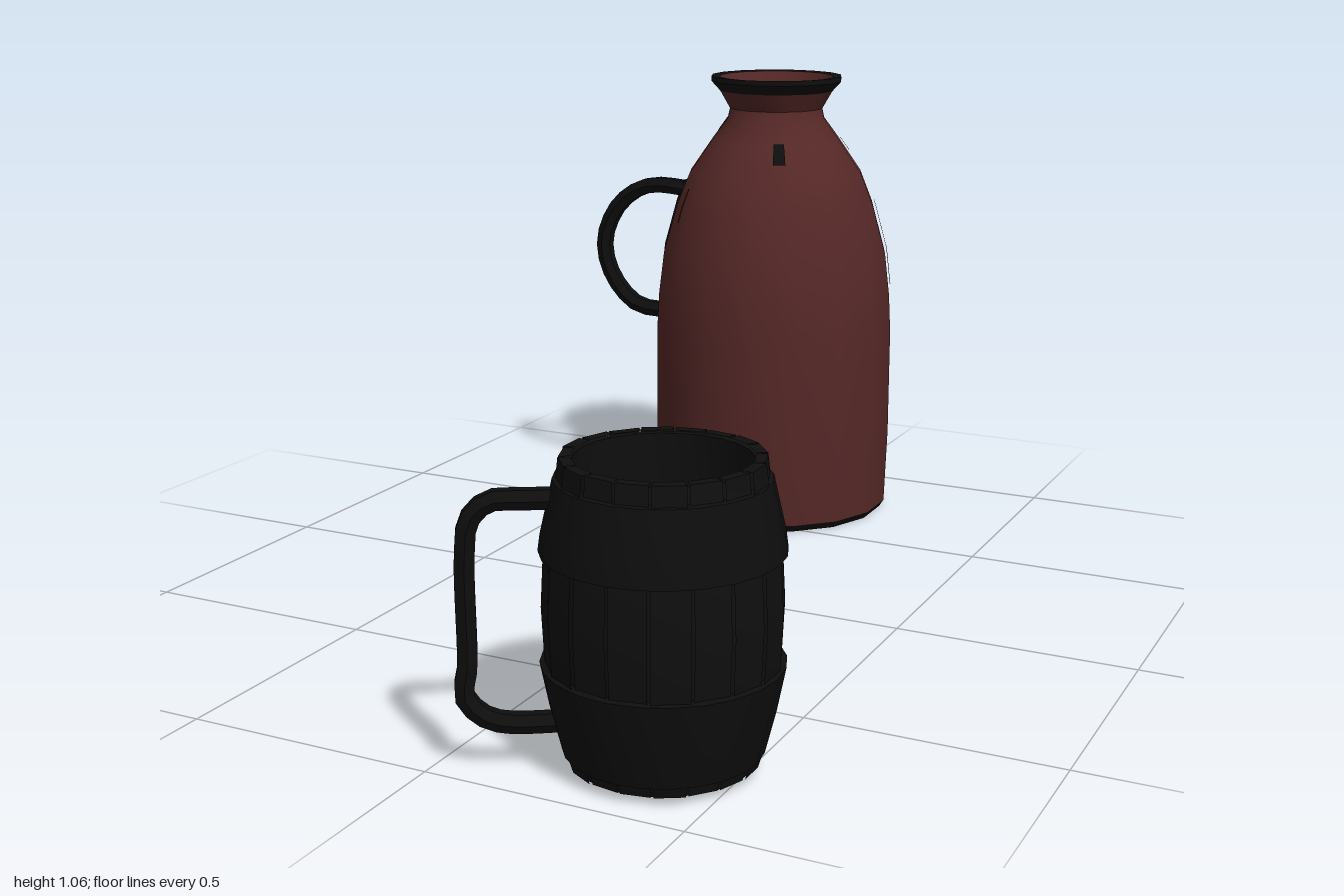
import * as THREE from 'three';
import { toCreasedNormals } from 'three/addons/utils/BufferGeometryUtils.js';

const mat = (name, color, side = THREE.FrontSide) => {
  const m = new THREE.MeshStandardMaterial({ color, side });
  m.name = name;
  return m;
};
const v2 = (list) => list.map(([r, y]) => new THREE.Vector2(r, y));
const rad = THREE.MathUtils.degToRad;

function add(parent, name, geometry, material) {
  const m = new THREE.Mesh(geometry, material);
  m.name = name;
  parent.add(m);
  return m;
}

// turned part; keeps hard edges sharp
function turned(points, sides, start = 0, length = Math.PI * 2, crease = 0.65) {
  return toCreasedNormals(new THREE.LatheGeometry(v2(points), sides, start, length), crease);
}

// low-poly bar following a path of [x, y] points in a vertical plane
function bar(points, radius, steps) {
  const curve = new THREE.CatmullRomCurve3(points.map(([x, y]) => new THREE.Vector3(x, y, 0)), false, 'centripetal');
  return toCreasedNormals(new THREE.TubeGeometry(curve, steps, radius, 6), 0.65);
}

// radius of a [r, y] profile at height y
function radiusAt(profile, y) {
  for (let i = 1; i < profile.length; i++) {
    const [r0, y0] = profile[i - 1], [r1, y1] = profile[i];
    if (y <= y1) return r0 + (r1 - r0) * Math.max(0, (y - y0) / (y1 - y0));
  }
  return profile[profile.length - 1][0];
}

// thin curved sheet following a profile between two heights
function sheet(profile, angle, width, y0, y1, lift) {
  const ys = [y0, ...profile.map((p) => p[1]).filter((y) => y > y0 && y < y1), y1];
  const points = ys.map((y) => [radiusAt(profile, y) + lift, y]);
  const span = width / radiusAt(profile, (y0 + y1) / 2);
  return new THREE.LatheGeometry(v2(points), 2, rad(angle) - span / 2, span);
}

export function createModel() {
  const red = mat('dark red enamel', 0x552827);
  const worn = mat('worn red', 0x381a19, THREE.DoubleSide);
  const black = mat('black iron', 0x0e0e0e, THREE.DoubleSide);
  const wood = mat('blackened wood', 0x0f0f0f, THREE.DoubleSide);
  const model = new THREE.Group();

  // ---- jug ----
  const jug = new THREE.Group();
  jug.name = 'jug';
  jug.position.set(-0.093, 0, -0.71);
  model.add(jug);
  const jugProfile = [[0.283, 0.022], [0.289, 0.2], [0.289, 0.45], [0.284, 0.54], [0.272, 0.64], [0.24, 0.755],
    [0.21, 0.83], [0.155, 0.91], [0.118, 0.96], [0.112, 0.985], [0.136, 1.027]];
  const half = Math.PI / 16;
  const spin = (points) => turned(points, 16, half);
  add(jug, 'jugBody', spin(jugProfile), red);
  add(jug, 'jugBase', spin([[0, 0.005], [0.272, 0.005], [0.283, 0.022]]), black);
  add(jug, 'jugRim', spin([[0.136, 1.027], [0.157, 1.05], [0.157, 1.062], [0.137, 1.06]]), black);
  add(jug, 'jugMouth', spin([[0.137, 1.06], [0.103, 0.985], [0.108, 0.955]]), red);
  add(jug, 'jugInside', spin([[0.108, 0.955], [0.2, 0.82], [0.27, 0.55], [0.27, 0.03], [0, 0.03]]), black);

  // ring handle with its fixing strip
  const jugHandle = add(jug, 'jugHandle', bar([[-0.2, 0.775], [-0.32, 0.78], [-0.375, 0.76], [-0.425, 0.715],
    [-0.458, 0.64], [-0.452, 0.575], [-0.418, 0.515], [-0.365, 0.473], [-0.27, 0.465]], 0.021, 18), black);
  jugHandle.position.z = 0.02;
  add(jug, 'jugHandleStrip', sheet(jugProfile, 274, 0.045, 0.46, 0.8, 0.009), black);

  // chips and scuffs: angle, width, bottom, top, material
  [[26, 0.026, 0.87, 0.915, black], [115, 0.03, 0.885, 0.915, black], [264, 0.05, 0.925, 0.985, black],
    [264, 0.045, 0.23, 0.35, black], [214, 0.055, 0.865, 0.93, worn], [120, 0.008, 0.55, 0.76, worn],
    [318, 0.008, 0.72, 0.8, worn]].forEach(([angle, width, y0, y1, material]) =>
    add(jug, 'jugChip', sheet(jugProfile, angle, width, y0, y1, 0.004), material));

  // ---- mug ----
  const mug = new THREE.Group();
  mug.name = 'mug';
  mug.position.set(0.355, 0, 0.785);
  model.add(mug);
  add(mug, 'mugCore', turned([[0, 0.02], [0.165, 0.02], [0.182, 0.1], [0.2, 0.2], [0.204, 0.3], [0.2, 0.4],
    [0.176, 0.53], [0.17, 0.56], [0.155, 0.56], [0.165, 0.4], [0.165, 0.07], [0, 0.07]], 24), wood);

  // staves with narrow gaps
  const staveProfile = [[0.168, 0.02], [0.177, 0.05], [0.192, 0.12], [0.205, 0.2], [0.21, 0.3], [0.205, 0.4],
    [0.183, 0.52], [0.178, 0.565]];
  const count = 18;
  for (let i = 0; i < count; i++) {
    const step = (Math.PI * 2) / count;
    const lift = [0, 0.002, -0.001][i % 3];
    const outer = staveProfile.map(([r, y]) => [r + lift, y]);
    const points = [...outer, [0.157, 0.565]];
    add(mug, 'mugStave', turned(points, 1, (i + 0.04) * step, step * 0.92), wood);
  }

  // upper and lower hoops
  add(mug, 'upperHoop', turned([[0.2, 0.398], [0.214, 0.4], [0.21, 0.43], [0.188, 0.528], [0.176, 0.532]], 24), black);
  add(mug, 'lowerHoop', turned([[0.172, 0.038], [0.178, 0.04], [0.198, 0.12], [0.214, 0.2], [0.2, 0.204]], 24), black);

  // squared handle, turned towards the front right
  const mugHandle = add(mug, 'mugHandle', bar([[-0.16, 0.495], [-0.24, 0.495], [-0.295, 0.493], [-0.328, 0.462],
    [-0.337, 0.4], [-0.337, 0.2], [-0.343, 0.145], [-0.315, 0.11], [-0.28, 0.095], [-0.16, 0.092]], 0.02, 28), black);
  mugHandle.rotation.y = rad(32);
  return model;
}
